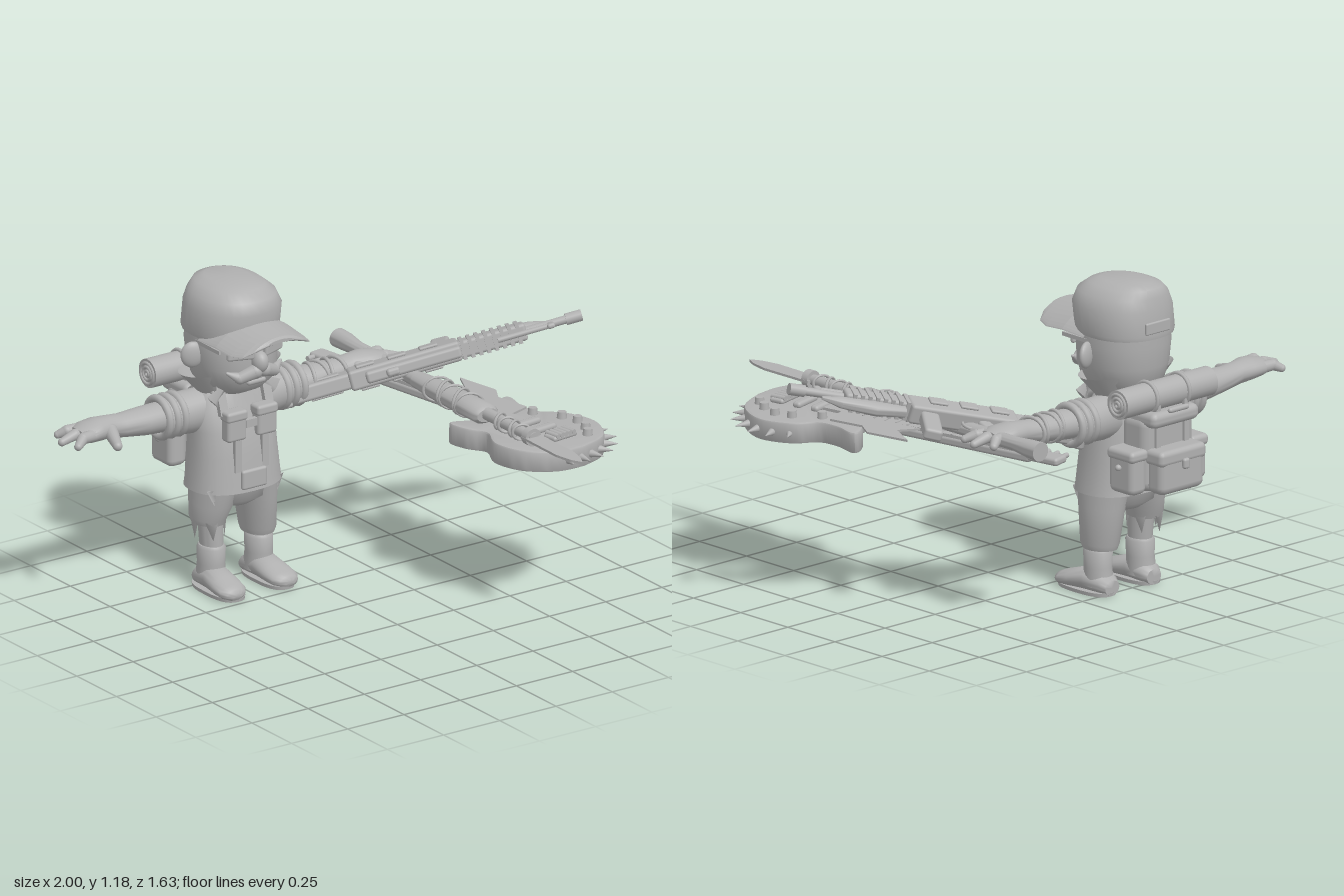
import * as THREE from 'three';
import { toCreasedNormals } from 'three/addons/utils/BufferGeometryUtils.js';
import { RoundedBoxGeometry } from 'three/addons/geometries/RoundedBoxGeometry.js';

const grey = new THREE.MeshStandardMaterial({ color: 0xb0b0b0, side: THREE.DoubleSide });
grey.name = 'clay grey';
const V = (x, y, z) => new THREE.Vector3(x, y, z);
const CX = -0.23; // centre line of the figure

function add(parent, name, geo, x = 0, y = 0, z = 0, rx = 0, ry = 0, rz = 0) {
  const m = new THREE.Mesh(geo, grey);
  m.name = name;
  m.position.set(x, y, z);
  m.rotation.set(rx, ry, rz);
  parent.add(m);
  return m;
}
const group = (parent, name) => {
  const g = new THREE.Group();
  g.name = name;
  parent.add(g);
  return g;
};
const rbox = (w, h, d, r = 0.012) => new RoundedBoxGeometry(w, h, d, 2, Math.min(r, w / 2.1, h / 2.1, d / 2.1));
const box = (w, h, d) => new THREE.BoxGeometry(w, h, d);
const cyl = (a, b, h, n = 16) => new THREE.CylinderGeometry(a, b, h, n);
const ball = (r) => new THREE.SphereGeometry(r, 20, 14);

// Skin over oval rings. Rows ascend in t; y: [y,x,z,rx,rz]  x: [x,z,y,rz,ry]  z: [z,y,x,ry,rx]
function loft(axis, rows, n = 28, power = 1) {
  const pos = [], idx = [];
  const put = (u, t, v) => pos.push(...(axis === 'y' ? [u, t, v] : axis === 'x' ? [t, v, u] : [v, u, t]));
  const bend = (c) => Math.sign(c) * Math.abs(c) ** power;
  for (const [t, u, v, ru, rv] of rows)
    for (let i = 0; i < n; i++) {
      const a = (i / n) * Math.PI * 2;
      put(u + ru * bend(Math.cos(a)), t, v + rv * bend(Math.sin(a)));
    }
  const last = rows.length - 1, base = n * rows.length;
  for (const r of [rows[0], rows[last]]) put(r[1], r[0], r[2]);
  for (let i = 0; i < n; i++) {
    const j = (i + 1) % n;
    for (let k = 0; k < last; k++) {
      const a = k * n + i, b = k * n + j;
      idx.push(a, a + n, b + n, a, b + n, b);
    }
    idx.push(base, i, j, base + 1, last * n + j, last * n + i);
  }
  const g = new THREE.BufferGeometry();
  g.setAttribute('position', new THREE.Float32BufferAttribute(pos, 3));
  g.setIndex(idx);
  return toCreasedNormals(g, 0.9);
}

// Tapered rod with rounded ends between two points
function rod(parent, name, a, b, ra, rb, round = true) {
  const d = b.clone().sub(a);
  const m = add(parent, name, cyl(rb, ra, d.length()));
  m.position.copy(a).addScaledVector(d, 0.5);
  m.quaternion.setFromUnitVectors(V(0, 1, 0), d.normalize());
  if (round) for (const [p, r] of [[a, ra], [b, rb]]) add(parent, name + 'End', ball(r), p.x, p.y, p.z);
}

function buildHead(root) {
  const g = group(root, 'head');
  g.position.x = CX;
  add(g, 'face', loft('y', [[0.75, 0, -0.48, 0.08, 0.08], [0.775, 0, -0.475, 0.11, 0.125], [0.81, 0, -0.47, 0.14, 0.155],
    [0.87, 0, -0.47, 0.157, 0.17], [0.95, 0, -0.475, 0.165, 0.17], [1.02, 0, -0.475, 0.16, 0.17]], 32, 0.9));
  add(g, 'cap', loft('y', [[0.985, 0, -0.48, 0.168, 0.176], [1.0, 0, -0.48, 0.172, 0.178], [1.09, 0, -0.467, 0.17, 0.182],
    [1.135, 0, -0.47, 0.15, 0.17], [1.165, 0, -0.485, 0.115, 0.145], [1.178, 0, -0.49, 0.075, 0.105]], 32, 0.88));
  // brim droops toward its sides
  const brim = loft('z', [[-0.44, 1.04, 0, 0.012, 0.172], [-0.33, 1.045, 0, 0.014, 0.172], [-0.24, 1.035, 0, 0.014, 0.168],
    [-0.19, 1.03, 0, 0.014, 0.15], [-0.168, 1.03, 0, 0.012, 0.115], [-0.155, 1.03, 0, 0.006, 0.06]], 40);
  const p = brim.attributes.position;
  for (let i = 0; i < p.count; i++) p.setY(i, p.getY(i) - 2.1 * p.getX(i) ** 2);
  brim.computeVertexNormals();
  add(g, 'capBrim', brim);
  add(g, 'capStrap', rbox(0.12, 0.045, 0.012), 0, 1.03, -0.655);
  add(g, 'nose', ball(0.036), 0, 0.905, -0.292).scale.set(0.85, 1.15, 1);
  add(g, 'glassesBridge', box(0.06, 0.012, 0.015), 0, 0.965, -0.3);
  for (const s of [-1, 1]) {
    add(g, 'ear', ball(0.05), s * 0.178, 0.918, -0.465, 0, s * 0.35, 0).scale.set(0.9, 1, 0.4);
    add(g, 'lens', rbox(0.105, 0.06, 0.02), s * 0.072, 0.95, -0.312, 0, s * 0.35, 0);
    add(g, 'glassesArm', box(0.01, 0.015, 0.16), s * 0.158, 0.965, -0.4);
    add(g, 'eyebrow', rbox(0.1, 0.018, 0.025), s * 0.07, 0.992, -0.31, 0, s * 0.35, -s * 0.1);
    rod(g, 'moustache', V(s * 0.02, 0.872, -0.292), V(s * 0.075, 0.85, -0.312), 0.027, 0.022);
    rod(g, 'moustacheTip', V(s * 0.075, 0.85, -0.312), V(s * 0.118, 0.872, -0.33), 0.022, 0.006);
  }
  rod(g, 'lip', V(-0.03, 0.823, -0.318), V(0.03, 0.823, -0.318), 0.012, 0.012);
}

function buildBody(root) {
  const g = group(root, 'body');
  g.position.x = CX;
  add(g, 'shirt', loft('y', [[0.39, 0, -0.465, 0.186, 0.138], [0.42, 0, -0.465, 0.182, 0.134], [0.52, 0, -0.47, 0.174, 0.128],
    [0.62, 0, -0.475, 0.17, 0.115], [0.7, 0, -0.485, 0.17, 0.1], [0.755, 0, -0.49, 0.135, 0.085], [0.79, 0, -0.485, 0.07, 0.07]], 32, 0.85));
  add(g, 'collar', new THREE.CylinderGeometry(0.215, 0.13, 0.09, 24, 1, true, 0.5, 5.28), 0, 0.795, -0.485).scale.z = 0.52;
  for (const s of [-1, 1]) {
    add(g, 'collarPoint', cyl(0.001, 0.04, 0.1, 4), s * 0.1, 0.775, -0.395, 0, 0, s * 0.8).scale.z = 0.3;
    add(g, 'chestPouch', rbox(0.085, 0.105, 0.05), s * 0.067, 0.645, -0.36);
    add(g, 'pouchFlap', rbox(0.092, 0.04, 0.058), s * 0.067, 0.69, -0.36);
    add(g, 'chestStrap', box(0.035, 0.12, 0.02), s * 0.1, 0.745, -0.395, -0.3);
    add(g, 'lowerStrap', box(0.03, 0.14, 0.015), s * 0.06, 0.54, -0.347);
    add(g, 'shirtTear', cyl(0.035, 0.001, 0.06, 3), s * 0.14, 0.375, -0.38).scale.z = 0.3;
  }
  add(g, 'chestBelt', box(0.05, 0.03, 0.02), 0, 0.65, -0.352);
  add(g, 'bellyPatch', rbox(0.11, 0.075, 0.02), 0, 0.44, -0.33);
  add(g, 'hips', loft('y', [[0.315, 0, -0.465, 0.07, 0.07], [0.345, 0, -0.465, 0.14, 0.11], [0.42, 0, -0.465, 0.165, 0.122]]));
  for (const s of [-1, 1]) {
    const hem = s < 0 ? 0.255 : 0.175; // one trouser leg is torn short
    add(g, 'trouserLeg', loft('y', [[hem, s * 0.11, -0.465, 0.058, 0.072], [hem + 0.02, s * 0.11, -0.465, 0.064, 0.08],
      [0.33, s * 0.098, -0.463, 0.072, 0.1], [0.41, s * 0.085, -0.463, 0.08, 0.115]]));
    add(g, 'shin', loft('y', [[0.13, s * 0.103, -0.45, 0.04, 0.048], [0.3, s * 0.103, -0.46, 0.046, 0.055]]));
    add(g, 'bootShaft', loft('y', [[0.03, s * 0.106, -0.455, 0.052, 0.062], [0.1, s * 0.106, -0.45, 0.05, 0.055],
      [0.16, s * 0.105, -0.45, 0.051, 0.058], [0.17, s * 0.105, -0.45, 0.045, 0.052]]));
    const foot = [[-0.525, 0.03, 0.028, 0.035], [-0.5, 0.04, 0.038, 0.05], [-0.42, 0.05, 0.048, 0.055], [-0.35, 0.038, 0.036, 0.061],
      [-0.3, 0.03, 0.028, 0.058], [-0.275, 0.026, 0.022, 0.04], [-0.265, 0.024, 0.012, 0.02]];
    add(g, 'bootFoot', loft('z', foot.map(([z, y, ry, rx]) => [z, y, s * (0.108 + (z + 0.45) * 0.05), ry, rx])));
    add(g, 'bootSole', loft('y', [[0, s * 0.11, -0.397, 0.06, 0.128], [0.014, s * 0.11, -0.397, 0.062, 0.13]], 28, 0.75));
  }
  for (let i = 0; i < 5; i++) {
    const a = 0.7 + i * 1.25;
    add(g, 'trouserTear', cyl(0.03, 0.001, 0.07, 3), -0.11 + Math.cos(a) * 0.055, 0.235, -0.465 + Math.sin(a) * 0.07, 0, -a).scale.x = 0.25;
  }
}

function buildArm(root, s) {
  const g = group(root, s > 0 ? 'leftArm' : 'rightArm');
  const skin = (name, rows) => {
    const r = rows.map(([o, ...rest]) => [CX + s * o, ...rest]);
    add(g, name, loft('x', s > 0 ? r : r.reverse()));
  };
  skin('sleeve', [[0.1, -0.5, 0.68, 0.075, 0.085], [0.2, -0.505, 0.683, 0.078, 0.08], [0.24, -0.505, 0.685, 0.076, 0.076], [0.3, -0.505, 0.687, 0.076, 0.074]]);
  skin('forearm', [[0.28, -0.5, 0.69, 0.064, 0.057], [0.38, -0.495, 0.695, 0.062, 0.053], [0.48, -0.495, 0.7, 0.052, 0.044],
    [0.54, -0.495, 0.708, 0.048, 0.042], [0.59, -0.49, 0.712, 0.062, 0.042], [0.64, -0.485, 0.712, 0.068, 0.036], [0.68, -0.482, 0.71, 0.05, 0.025]]);
  for (const o of [0.23, 0.265, 0.3])
    add(g, 'cuffRoll', new THREE.TorusGeometry(0.072, 0.015, 10, 28), CX + s * o, 0.687, -0.505, 0, Math.PI / 2, s * 0.1);
  for (const [o, z] of [[0.73, -0.548], [0.762, -0.477], [0.74, -0.405]]) {
    const mid = V(CX + s * 0.69, 0.715, (z - 0.485) / 2 + (z + 0.48) * 0.2);
    rod(g, 'finger', V(CX + s * 0.63, 0.712, -0.485 + (z + 0.48) * 0.55), mid, 0.024, 0.021);
    rod(g, 'fingertip', mid, V(CX + s * (o - 0.012), 0.7, z), 0.021, 0.015);
  }
  rod(g, 'thumb', V(CX + s * 0.55, 0.705, -0.455), V(CX + s * 0.585, 0.685, -0.36), 0.028, 0.018);
  if (s > 0) for (let i = 0; i < 4; i++)
    add(g, 'armWrap', new THREE.TorusGeometry(0.06, 0.008, 8, 24), CX + 0.36 + i * 0.04, 0.697, -0.495, 0, Math.PI / 2 + (i % 2 ? 0.2 : -0.2), 0).scale.y = 0.9;
}

function buildPack(root) {
  const g = group(root, 'backpack');
  g.position.x = CX;
  add(g, 'packBody', rbox(0.25, 0.29, 0.14, 0.04), 0, 0.575, -0.655);
  add(g, 'packLid', rbox(0.235, 0.06, 0.17, 0.025), 0, 0.71, -0.675);
  add(g, 'backPocket', rbox(0.22, 0.155, 0.09, 0.03), 0, 0.51, -0.75);
  add(g, 'backPocketFlap', rbox(0.23, 0.06, 0.1, 0.02), 0, 0.572, -0.748);
  add(g, 'buckle', rbox(0.03, 0.04, 0.02), 0, 0.545, -0.805);
  for (const s of [-1, 1]) {
    add(g, 'sidePouch', rbox(0.08, 0.155, 0.13, 0.025), s * 0.15, 0.51, -0.655);
    add(g, 'sidePouchFlap', rbox(0.09, 0.045, 0.14, 0.018), s * 0.15, 0.58, -0.655);
    add(g, 'pouchButton', ball(0.012), s * 0.197, 0.535, -0.655);
    add(g, 'packStrap', box(0.022, 0.2, 0.012), s * 0.07, 0.66, -0.728);
    add(g, 'shoulderStrap', new THREE.TubeGeometry(new THREE.CatmullRomCurve3([V(s * 0.09, 0.7, -0.62),
      V(s * 0.1, 0.765, -0.52), V(s * 0.1, 0.745, -0.41), V(s * 0.09, 0.66, -0.37)]), 16, 0.014, 8));
    add(g, 'rollStrap', new THREE.TorusGeometry(0.058, 0.008, 8, 24), s * 0.08, 0.785, -0.682, 0, Math.PI / 2);
    for (const r of [0.04, 0.025, 0.01])
      add(g, 'rollSpiral', new THREE.TorusGeometry(r, 0.006, 6, 20), s * 0.226, 0.785, -0.682, 0, Math.PI / 2);
  }
  add(g, 'bedroll', cyl(0.055, 0.055, 0.45, 24), 0, 0.785, -0.682, 0, 0, Math.PI / 2);
  rod(g, 'packHandle', V(-0.04, 0.745, -0.765), V(0.04, 0.745, -0.765), 0.01, 0.01);
}

function buildRifle(root) {
  // local x runs to the muzzle, local y is the rifle's own top; it lies on its side
  const g = group(root, 'rifle');
  const along = V(0.875, 0.232, 0.425).normalize(), side = new THREE.Vector3();
  const up = V(-0.45, 0.2, 0.87).addScaledVector(along, -V(-0.45, 0.2, 0.87).dot(along)).normalize();
  side.crossVectors(along, up);
  g.quaternion.setFromRotationMatrix(new THREE.Matrix4().makeBasis(along, up, side));
  g.position.copy(V(0.995, 0.905, 0).addScaledVector(along, -1.12));
  add(g, 'stock', rbox(0.28, 0.085, 0.06), 0.13, -0.025, 0);
  add(g, 'stockButt', rbox(0.04, 0.12, 0.065), 0.0, -0.03, 0);
  add(g, 'receiver', rbox(0.42, 0.1, 0.075), 0.45, -0.02, 0);
  add(g, 'receiverTop', rbox(0.36, 0.03, 0.045), 0.48, 0.035, 0);
  add(g, 'handguard', rbox(0.26, 0.065, 0.065), 0.78, -0.01, 0);
  add(g, 'foregrip', loft('x', [[0.68, 0, -0.05, 0.02, 0.025], [0.8, 0, -0.06, 0.026, 0.035], [0.93, 0, -0.05, 0.02, 0.028], [1.0, 0, -0.035, 0.006, 0.006]]));
  add(g, 'magazine', rbox(0.07, 0.16, 0.045), 0.6, -0.14, 0, 0, 0, 0.15);
  add(g, 'pistolGrip', rbox(0.05, 0.11, 0.04), 0.36, -0.11, 0, 0, 0, -0.35);
  add(g, 'triggerGuard', new THREE.TorusGeometry(0.03, 0.006, 6, 16), 0.43, -0.08, 0);
  add(g, 'barrel', cyl(0.014, 0.016, 0.36), 0.92, 0.0, 0, 0, 0, Math.PI / 2);
  add(g, 'gasTube', cyl(0.01, 0.01, 0.2), 0.9, 0.03, 0, 0, 0, Math.PI / 2);
  add(g, 'muzzleBrake', cyl(0.022, 0.022, 0.06), 1.09, 0, 0, 0, 0, Math.PI / 2);
  add(g, 'frontSight', rbox(0.03, 0.05, 0.02), 1.0, 0.025, 0);
  add(g, 'rearSight', rbox(0.05, 0.03, 0.03), 0.4, 0.055, 0);
  for (let i = 0; i < 8; i++) add(g, 'handguardRib', box(0.014, 0.074, 0.074), 0.67 + i * 0.03, -0.01, 0);
  for (const s of [-1, 1]) {
    for (let i = 0; i < 3; i++) add(g, 'sidePlate', rbox(0.07, 0.045, 0.012), 0.31 + i * 0.12, -0.01, s * 0.042);
    add(g, 'stockPlate', rbox(0.12, 0.04, 0.01), 0.15, -0.02, s * 0.033);
  }
}

function buildGuitar(root) {
  // shape y points along the neck
  const g = group(root, 'guitar');
  g.position.set(0.555, 0.592, 0.4);
  g.rotation.set(0, 0.18, -0.04);
  const pts = [[0, -0.185], [0.13, -0.15], [0.215, -0.03], [0.2, 0.1], [0.135, 0.18], [0.135, 0.27], [0.165, 0.36], [0.1, 0.34], [0.05, 0.27],
    [-0.05, 0.25], [-0.12, 0.27], [-0.185, 0.3], [-0.185, 0.22], [-0.155, 0.14], [-0.215, 0.04], [-0.2, -0.08], [-0.11, -0.165]];
  const shape = new THREE.Shape(new THREE.SplineCurve([...pts, pts[0]].map((p) => new THREE.Vector2(...p))).getPoints(90).slice(0, -1));
  const body = new THREE.ExtrudeGeometry(shape, { depth: 0.066, bevelSize: 0.01, bevelThickness: 0.008, bevelSegments: 2 });
  add(g, 'guitarBody', toCreasedNormals(body, 0.6), 0, 0.008, 0, -Math.PI / 2);
  add(g, 'neck', rbox(0.06, 0.035, 0.9), 0, 0.065, -0.6);
  add(g, 'fretboard', box(0.055, 0.012, 0.9), 0, 0.087, -0.57);
  for (let i = 0; i < 14; i++) add(g, 'fret', box(0.057, 0.004, 0.005), 0, 0.094, -0.3 - i * 0.05);
  add(g, 'headstock', rbox(0.07, 0.03, 0.17), -0.005, 0.07, -1.09);
  for (let i = 0; i < 4; i++) add(g, 'tuningPeg', cyl(0.01, 0.01, 0.04, 10), -0.05, 0.07, -1.03 - i * 0.04, 0, 0, Math.PI / 2);
  for (const z of [-0.1, -0.02]) add(g, 'pickup', rbox(0.12, 0.025, 0.035), 0.0, 0.09, z);
  add(g, 'bridge', rbox(0.12, 0.02, 0.06), 0.0, 0.09, 0.07);
  for (let i = 0; i < 5; i++) add(g, 'bridgeCoil', cyl(0.01, 0.01, 0.06, 10), -0.04 + i * 0.02, 0.1, 0.07, Math.PI / 2);
  for (const [x, z] of [[0.15, -0.07], [0.16, 0.0], [0.13, 0.07], [0.1, -0.17], [0.09, 0.12]])
    add(g, 'knob', cyl(0.016, 0.019, 0.025), x, 0.095, z);
  for (let i = 0; i < 9; i++) {
    const a = -0.45 + i * 0.3;
    const r = 1 / Math.hypot(Math.cos(a) / 0.225, Math.sin(a) / 0.19);
    rod(g, 'spike', V(Math.cos(a) * r, 0.04, Math.sin(a) * r), V(Math.cos(a) * (r + 0.055), 0.04, Math.sin(a) * (r + 0.055)), 0.015, 0.001, false);
  }
  const blade = new THREE.Shape([[0.02, 0.2], [0.12, 0.22], [0.115, 0.36], [0.165, 0.42], [0.16, 0.6], [0.09, 0.5], [0.03, 0.56]].map((p) => new THREE.Vector2(...p)));
  add(g, 'sawBlade', new THREE.ExtrudeGeometry(blade, { depth: 0.008, bevelEnabled: false }), 0, 0.085, 0, -Math.PI / 2);
}

function buildSpear(root) {
  const g = group(root, 'bladedClub');
  g.position.set(0.425, 0.71, 0);
  const h = Math.PI / 2;
  add(g, 'clubHandle', loft('z', [[-0.735, 0, 0.005, 0.036, 0.038], [-0.68, 0, 0.005, 0.034, 0.036], [-0.6, 0, 0, 0.026, 0.028], [-0.2, 0, 0, 0.028, 0.034]]));
  add(g, 'clubBarrel', loft('z', [[-0.22, 0, 0, 0.03, 0.038], [-0.1, 0, 0, 0.036, 0.048], [0.1, 0, 0, 0.038, 0.054], [0.2, 0, 0, 0.036, 0.055], [0.215, 0, 0, 0.025, 0.045]]));
  add(g, 'bladeShaft', cyl(0.02, 0.024, 0.32), 0, 0.005, 0.35, h);
  add(g, 'bladeSocket', cyl(0.034, 0.034, 0.03), 0, 0.005, 0.49, h);
  for (let i = 0; i < 9; i++) {
    const far = i > 4;
    add(g, 'wireWrap', new THREE.TorusGeometry(far ? 0.034 : 0.054, 0.006, 6, 20), 0, 0.003, far ? 0.1 + i * 0.045 - 0.03 : -0.1 + i * 0.05, 0, i % 2 ? 0.35 : -0.35).scale.y = 0.85;
  }
  const s = new THREE.Shape([[-0.034, 0.47], [0.034, 0.47], [0.036, 0.7], [0.022, 0.77], [0, 0.815], [-0.022, 0.77], [-0.036, 0.7]].map((p) => new THREE.Vector2(...p)));
  add(g, 'blade', new THREE.ExtrudeGeometry(s, { depth: 0.009, bevelEnabled: false }), 0, 0.008, 0, h);
}

export function createModel() {
  const root = new THREE.Group();
  root.name = 'armedAdventurer';
  buildHead(root);
  buildBody(root);
  for (const s of [-1, 1]) buildArm(root, s);
  for (const build of [buildPack, buildRifle, buildGuitar, buildSpear]) build(root);
  return root;
}
